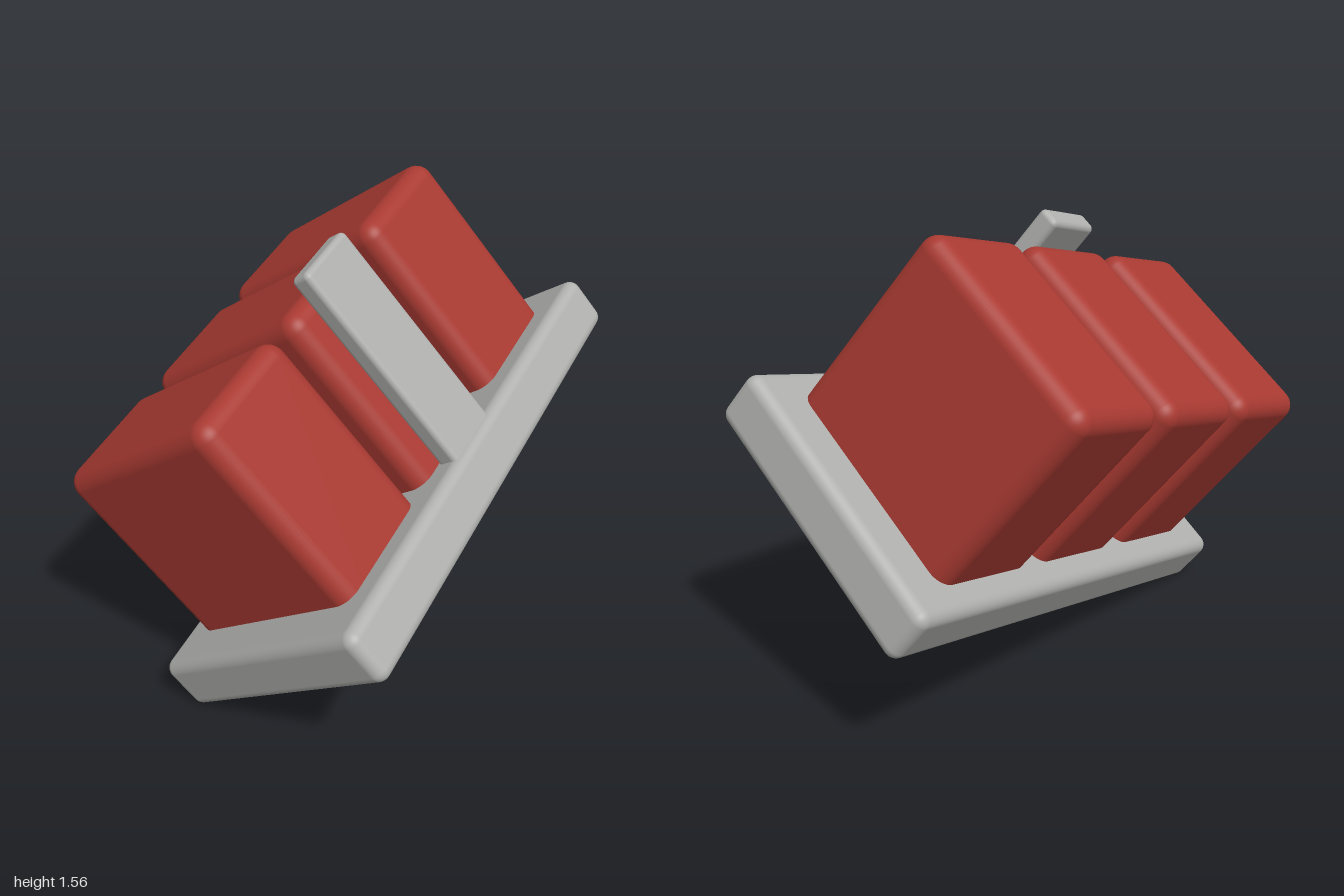
import * as THREE from 'three';
import { RoundedBoxGeometry } from 'three/addons/geometries/RoundedBoxGeometry.js';

const grey = new THREE.MeshStandardMaterial({ color: 0xb0b0ae });
grey.name = 'light grey';
const red = new THREE.MeshStandardMaterial({ color: 0xa93a32 });
red.name = 'brick red';

// rounded block given by its ranges along the slab's length, height and depth
function block(name, material, [x0, x1], [y0, y1], [z0, z1], radius) {
  const geometry = new RoundedBoxGeometry(x1 - x0, y1 - y0, z1 - z0, 5, radius);
  geometry.translate((x0 + x1) / 2, (y0 + y1) / 2, (z0 + z1) / 2);
  const mesh = new THREE.Mesh(geometry, material);
  mesh.name = name;
  return mesh;
}

export function createModel() {
  const model = new THREE.Group();
  model.name = 'blocksOnSlab';
  const tilted = new THREE.Group();
  tilted.name = 'tiltedAssembly';

  // base slab, centred on the assembly's origin
  tilted.add(block('baseSlab', grey, [-0.9, 0.9], [-0.1, 0.1], [-0.495, 0.495], 0.04));

  // row of three blocks
  for (const i of [-1, 0, 1]) {
    const c = i * 0.515;
    tilted.add(block('redBlock', red, [c - 0.23, c + 0.23], [0, 0.808], [-0.395, 0.392], 0.06));
  }

  // upright bar in front of the middle block
  tilted.add(block('frontBar', grey, [-0.125, 0.125], [0, 0.88], [0.395, 0.475], 0.02));

  // tilt: long axis, up axis and depth axis of the slab
  const along = new THREE.Vector3(0.805, 0.247, -0.539).normalize();
  const depth = new THREE.Vector3(0.33, 0.56, 0.76);
  const up = depth.clone().cross(along).normalize();
  depth.crossVectors(along, up);
  tilted.quaternion.setFromRotationMatrix(new THREE.Matrix4().makeBasis(along, up, depth));
  tilted.position.set(0.09, 0.555, 0.048);
  model.add(tilted);
  return model;
}
